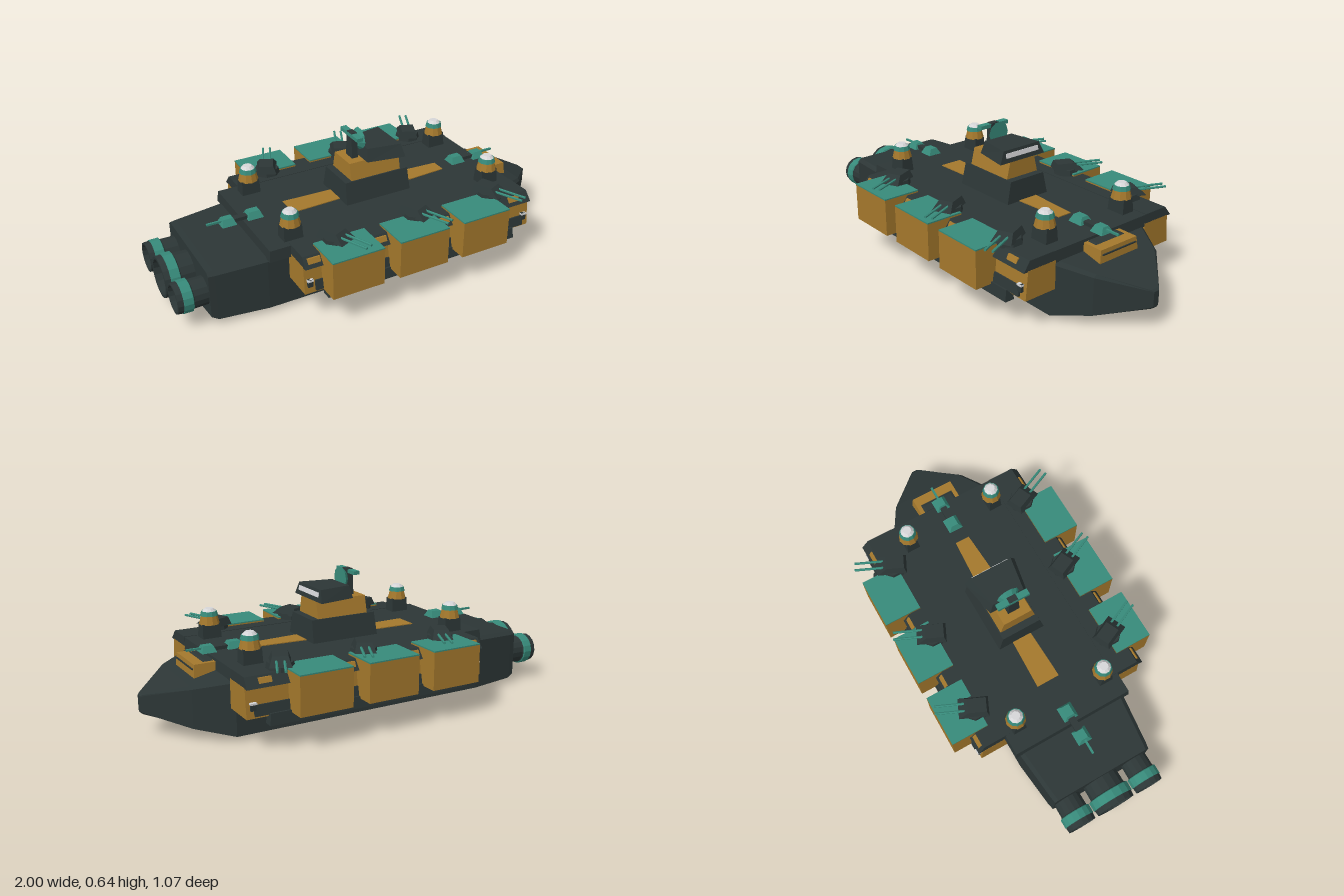
import * as THREE from 'three';

const paint = (name, color) => {
  const m = new THREE.MeshStandardMaterial({ color });
  m.name = name;
  return m;
};

export function createModel() {
  const dark = paint('dark grey', 0x2c3636);
  const ochre = paint('ochre', 0xa4782c);
  const teal = paint('teal', 0x378a7a);
  const white = paint('pale grey', 0xd6d6d8);
  const model = new THREE.Group();
  model.name = 'warship';

  // Adds a faceted mesh
  function add(parent, name, geometry, material, x = 0, y = 0, z = 0) {
    const g = geometry.index ? geometry.toNonIndexed() : geometry;
    g.computeVertexNormals();
    const mesh = new THREE.Mesh(g, material);
    mesh.name = name;
    mesh.position.set(x, y, z);
    parent.add(mesh);
    return mesh;
  }

  // Box between limits; the top is pulled in by [x0, x1, z0, z1]
  function block(parent, name, mat, [x0, x1], [y0, y1], [z0, z1], inset = [0, 0, 0, 0]) {
    const g = new THREE.BoxGeometry(1, 1, 1);
    const p = g.attributes.position;
    for (let i = 0; i < p.count; i++) {
      const top = p.getY(i) > 0 ? 1 : 0;
      const x = p.getX(i) < 0 ? x0 + top * inset[0] : x1 - top * inset[1];
      const z = p.getZ(i) < 0 ? z0 + top * inset[2] : z1 - top * inset[3];
      p.setXYZ(i, x, top ? y1 : y0, z);
    }
    return add(parent, name, g, mat);
  }

  const drum = (parent, name, mat, rTop, rBottom, y0, y1, x, z, sides = 10) =>
    add(parent, name, new THREE.CylinderGeometry(rTop, rBottom, y1 - y0, sides), mat, x, (y0 + y1) / 2, z);

  // Hull lofted along x: [x, half width, bottom y, top y, keel half width]
  const stations = [
    [-0.86, 0.25, 0.03, 0.27, 0.12], [-0.83, 0.255, 0.01, 0.272, 0.13],
    [-0.6, 0.28, 0.002, 0.282, 0.13], [0.67, 0.28, 0.002, 0.282, 0.13],
    [0.83, 0.19, 0.045, 0.248, 0.09], [0.99, 0.025, 0.1, 0.19, 0.012], [1, 0.015, 0.108, 0.182, 0.008],
  ];
  const rings = stations.map(([x, w, b, t, k]) => {
    const h = t - b;
    const half = [[k, b], [w, b + h * 0.08], [w, t - h * 0.06], [w * 0.93, t]];
    const left = half.map(([z, y]) => [x, y, z]);
    const right = half.map(([z, y]) => [x, y, -z]);
    return [left[0], ...right, left[3], left[2], left[1]];
  });
  const hull = [];
  const tri = (...pts) => pts.forEach((p) => hull.push(...p));
  for (let i = 0; i < rings.length - 1; i++) {
    for (let j = 0; j < 8; j++) {
      const n = (j + 1) % 8;
      const [a, b, c, d] = [rings[i][j], rings[i][n], rings[i + 1][n], rings[i + 1][j]];
      tri(a, b, c);
      tri(a, c, d);
    }
  }
  const last = rings[rings.length - 1];
  for (let j = 1; j < 7; j++) {
    tri(rings[0][0], rings[0][j + 1], rings[0][j]);
    tri(last[0], last[j], last[j + 1]);
  }
  const hullGeometry = new THREE.BufferGeometry();
  hullGeometry.setAttribute('position', new THREE.Float32BufferAttribute(hull, 3));
  add(model, 'hull', hullGeometry, dark);

  // Main deck and its painted strips
  block(model, 'deck', dark, [-0.6, 0.69], [0.275, 0.328], [-0.305, 0.305], [0.005, 0.005, 0.005, 0.005]);
  const strip = (name, x0, x1, w0, w1) => {
    const s = new THREE.Shape([[x0, -w0], [x1, -w1], [x1, w1], [x0, w0]].map((p) => new THREE.Vector2(...p)));
    const g = new THREE.ExtrudeGeometry(s, { depth: 0.004, bevelEnabled: false });
    g.rotateX(-Math.PI / 2);
    add(model, name, g, ochre, 0, 0.328, 0);
  };
  strip('rearDeckStrip', -0.37, -0.11, 0.057, 0.048);
  strip('frontDeckStrip', 0.2, 0.46, 0.052, 0.036);

  // Bow step
  block(model, 'bowStep', ochre, [0.68, 0.79], [0.25, 0.315], [-0.115, 0.115], [0, 0.005, 0.008, 0.008]);
  block(model, 'bowStepPanel', dark, [0.69, 0.745], [0.312, 0.319], [-0.095, 0.095], [0, 0.02, 0.02, 0.02]);
  block(model, 'bowStepSlot', dark, [0.786, 0.792], [0.29, 0.296], [-0.1, 0.1]);

  // Bridge tower
  block(model, 'towerBase', dark, [-0.125, 0.215], [0.32, 0.432], [-0.122, 0.122], [0.005, 0.005, 0.024, 0.024]);
  block(model, 'towerMiddle', ochre, [-0.085, 0.175], [0.43, 0.512], [-0.092, 0.092], [0, 0, 0.02, 0.02]);
  const bridge = block(model, 'bridge', dark, [-0.005, 0.178], [0.512, 0.57], [-0.132, 0.132], [0.01, 0.01, 0.026, 0.026]);
  const bp = bridge.geometry.attributes.position;
  for (let i = 0; i < bp.count; i++) if (bp.getX(i) < 0.05) bp.setZ(i, bp.getZ(i) * 0.75);
  bridge.geometry.computeVertexNormals();
  const pane = add(model, 'bridgeWindow', new THREE.BoxGeometry(0.008, 0.022, 0.19), white, 0.173, 0.545, 0);
  pane.rotation.z = 0.17;

  // Radar
  block(model, 'radarMount', dark, [-0.048, -0.018], [0.51, 0.635], [-0.03, 0.03], [0, 0, 0.008, 0.008]);
  const dish = new THREE.CylinderGeometry(0.056, 0.035, 0.022, 10);
  dish.rotateZ(-Math.PI / 2);
  add(model, 'radarDish', dish, teal, -0.004, 0.59, 0);
  block(model, 'radarBar', teal, [-0.05, -0.02], [0.615, 0.632], [-0.08, 0.08]);

  // Engines: outline turned around the x axis
  const ringPart = (parent, name, mat, pts) => {
    const g = new THREE.LatheGeometry(pts.map((p) => new THREE.Vector2(...p)), 16);
    g.rotateZ(Math.PI / 2);
    add(parent, name, g, mat);
  };
  for (const [z, r] of [[0, 0.103], [0.182, 0.075], [-0.182, 0.075]]) {
    const engine = new THREE.Group();
    engine.name = 'engine';
    engine.position.set(0, 0.152, z);
    ringPart(engine, 'engineBody', dark, [[r * 0.86, 0.82], [r * 0.88, 0.925], [r * 0.98, 0.932]]);
    ringPart(engine, 'engineBand', teal, [[r * 0.88, 0.926], [r, 0.932], [r, 0.973], [r * 0.9, 0.976]]);
    ringPart(engine, 'engineRim', dark, [[r * 0.96, 0.972], [r * 0.93, 1], [r * 0.8, 1], [r * 0.74, 0.96]]);
    ringPart(engine, 'engineGlow', white, [[r * 0.78, 0.964], [0, 0.964]]);
    model.add(engine);
  }

  // Centreline gun mounts, fore and aft
  for (const [x, dir] of [[-0.545, -1], [0.56, 1]]) {
    const mount = new THREE.Group();
    mount.name = 'deckGun';
    mount.position.x = x;
    mount.rotation.y = dir < 0 ? Math.PI : 0;
    drum(mount, 'gunBase', dark, 0.025, 0.035, 0.325, 0.345, 0, 0, 8);
    block(mount, 'gunHousing', teal, [-0.04, 0.035], [0.335, 0.366], [-0.036, 0.036], [0.012, 0.012, 0.018, 0.018]);
    block(mount, 'gunArm', dark, [0.03, 0.1], [0.336, 0.352], [-0.016, 0.016]);
    block(mount, 'gunHead', teal, [0.088, 0.158], [0.332, 0.362], [-0.035, 0.035], [0.012, 0.012, 0.018, 0.018]);
    block(mount, 'gunBarrel', teal, [0.15, 0.22], [0.345, 0.354], [-0.005, 0.005]);
    model.add(mount);
  }

  // Lamp towers
  for (const x of [-0.465, 0.578]) for (const z of [-0.23, 0.23]) {
    const lamp = new THREE.Group();
    lamp.name = 'lampTower';
    block(lamp, 'lampBase', dark, [x - 0.046, x + 0.046], [0.32, 0.395], [z - 0.034, z + 0.034], [0.003, 0.003, 0.006, 0.006]);
    drum(lamp, 'lampBody', ochre, 0.036, 0.048, 0.392, 0.438, x, z);
    drum(lamp, 'lampBand', teal, 0.036, 0.042, 0.432, 0.453, x, z);
    drum(lamp, 'lampCap', white, 0.02, 0.034, 0.452, 0.466, x, z);
    model.add(lamp);
  }

  // Side decks with hangars, cargo boxes and twin guns, mirrored
  for (const s of [1, -1]) {
    const side = new THREE.Group();
    side.name = s > 0 ? 'leftSide' : 'rightSide';
    const sideBlock = (name, mat, xs, ys, z0, z1, inner = 0, outer = 0, e = 0) =>
      block(side, name, mat, xs, ys, s > 0 ? [z0, z1] : [-z1, -z0],
        s > 0 ? [e, e, inner, outer] : [e, e, outer, inner]);
    sideBlock('hangar', ochre, [-0.5, 0.69], [0.155, 0.288], 0.27, 0.432, 0, 0.012);
    sideBlock('sideRoof', dark, [-0.5, 0.69], [0.285, 0.33], 0.28, 0.443, 0, 0.035, 0.004);
    sideBlock('lowerRail', dark, [-0.4, 0.595], [0.118, 0.17], 0.41, 0.456, 0.006, 0.006, 0.005);
    sideBlock('upperRail', dark, [-0.45, 0.655], [0.165, 0.212], 0.415, 0.442, 0, 0.008);
    for (const x of [-0.475, 0.66]) {
      sideBlock('endBracket', dark, [x - 0.012, x + 0.012], [0.19, 0.225], 0.41, 0.44);
      sideBlock('endLight', white, [x - 0.014, x + 0.014], [0.217, 0.225], 0.425, 0.443);
    }
    for (const x of [-0.45, -0.125, 0.205, 0.6]) {
      sideBlock('roofPatch', ochre, [x - 0.03, x + 0.03], [0.3, 0.322], 0.4, 0.432, 0, 0.01);
    }
    for (const x of [-0.29, 0.04, 0.37]) {
      sideBlock('cargoBox', ochre, [x - 0.125, x + 0.125], [0.16, 0.336], 0.347, 0.53);
      sideBlock('cargoLid', teal, [x - 0.125, x + 0.125], [0.336, 0.342], 0.347, 0.53);
    }
    for (const x of [-0.315, 0.095, 0.5]) {
      const turret = new THREE.Group();
      turret.name = 'twinGun';
      turret.position.set(x, 0, s * 0.36);
      turret.rotation.y = s > 0 ? 0.42 : Math.PI - 0.42;
      drum(turret, 'turretBase', dark, 0.058, 0.064, 0.325, 0.358, 0, 0, 8);
      block(turret, 'turretHousing', dark, [-0.048, 0.048], [0.35, 0.387], [-0.065, 0.075], [0.014, 0.014, 0.01, 0.045]);
      for (const bx of [-0.017, 0.017]) {
        const barrel = new THREE.CylinderGeometry(0.006, 0.006, 0.15, 6);
        barrel.rotateX(Math.PI / 2);
        add(turret, 'gunBarrel', barrel, teal, bx, 0.369, 0.108);
      }
      side.add(turret);
    }
    model.add(side);
  }
  return model;
}
